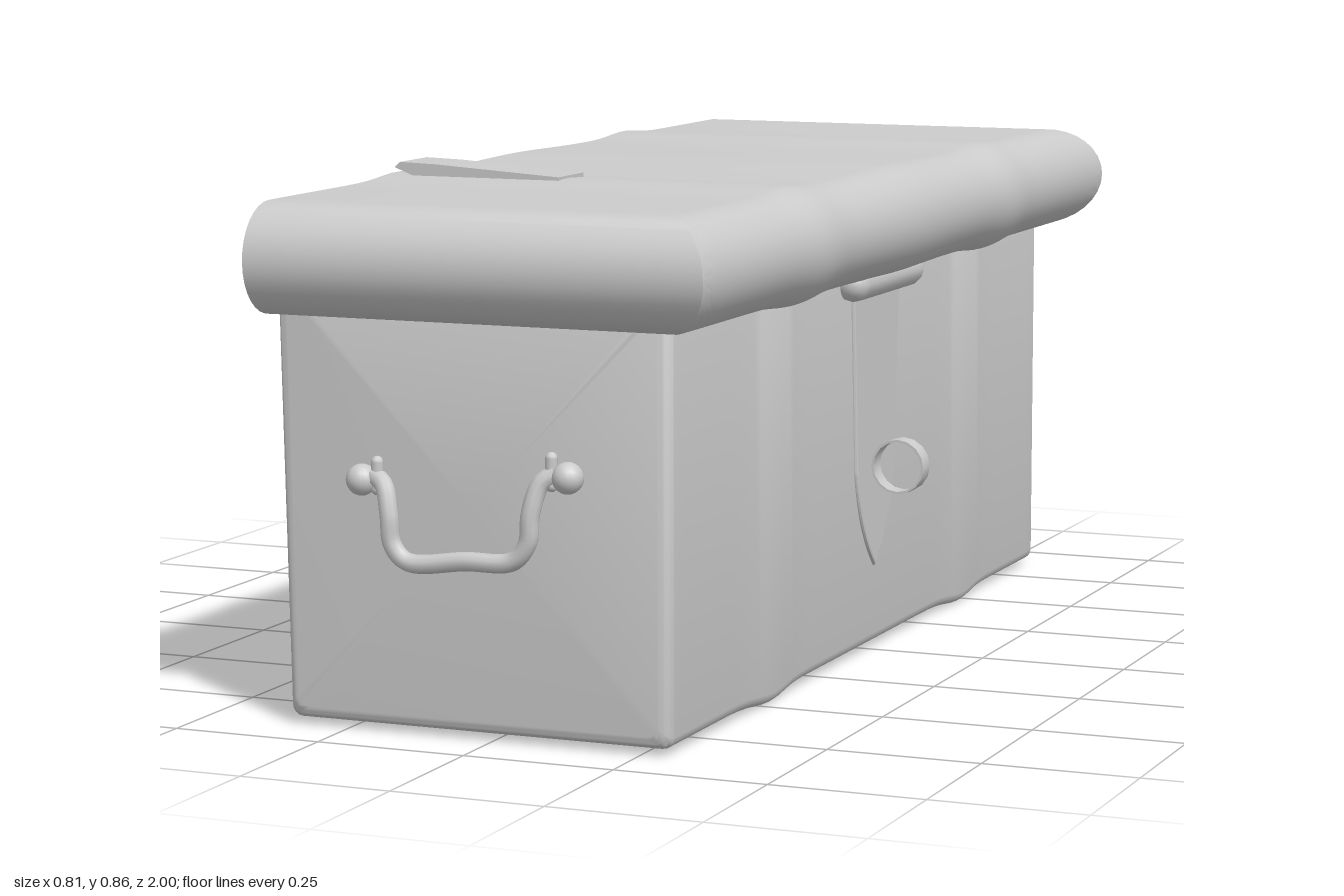
import * as THREE from 'three';
import { toCreasedNormals } from 'three/addons/utils/BufferGeometryUtils.js';

const material = new THREE.MeshStandardMaterial({ color: 0xcccccc });
const thin = new THREE.MeshStandardMaterial({ color: 0xcccccc, side: THREE.DoubleSide });

// Soft swelling where the straps cross the chest
const strap = z => Math.exp(-(((Math.abs(z) - 0.47) / 0.08) ** 2));
const middle = z => Math.exp(-((z / 0.17) ** 2));

function add(parent, name, geometry, mat = material) {
  const mesh = new THREE.Mesh(geometry, mat);
  mesh.name = name;
  parent.add(mesh);
  return mesh;
}

// Skin counter-clockwise [x, y] sections along z and close both ends
function loft(zs, section) {
  const pos = [], index = [];
  const loops = zs.map(section), n = loops[0].length, last = zs.length - 1;
  loops.forEach((loop, i) => loop.forEach(([x, y]) => pos.push(x, y, zs[i])));
  for (let i = 0; i < last; i++) {
    for (let j = 0; j < n; j++) {
      const k = (j + 1) % n;
      const a = i * n + j, b = i * n + k, c = b + n, d = a + n;
      index.push(a, b, c, a, c, d);
    }
  }
  for (const i of [0, last]) {
    const mid = pos.length / 3;
    const sum = loops[i].reduce((s, p) => [s[0] + p[0] / n, s[1] + p[1] / n], [0, 0]);
    pos.push(sum[0], sum[1], zs[i]);
    for (let j = 0; j < n; j++) {
      const a = i * n + j, b = i * n + (j + 1) % n;
      if (i) index.push(mid, a, b);
      else index.push(mid, b, a);
    }
  }
  const geo = new THREE.BufferGeometry();
  geo.setAttribute('position', new THREE.Float32BufferAttribute(pos, 3));
  geo.setIndex(index);
  return toCreasedNormals(geo, 0.7);
}

// Stations along the length, with extra ones over the rounded ends
function stations(flat, round) {
  const zs = [];
  for (let i = 0; i <= 60; i++) zs.push(-flat + (2 * flat * i) / 60);
  for (let i = 1; i <= 8; i++) {
    const z = flat + round * Math.sin((i / 8) * Math.PI / 2);
    zs.push(z);
    zs.unshift(-z);
  }
  return zs;
}

// Body: slightly tapered rounded rectangle with softened ends
function bodySection(z) {
  const k = Math.min(1, Math.max(0, (Math.abs(z) - 0.88) / 0.02));
  const inset = 0.02 * (1 - Math.sqrt(1 - k * k));
  const x0 = -0.368 + inset, x1 = 0.3 - inset + 0.004 * strap(z);
  const y0 = 0.012 + inset - 0.01 * strap(z), y1 = 0.7;
  const r = 0.018, loop = [];
  [[x1, y1], [x0, y1], [x0 + 0.014, y0], [x1, y0]].forEach(([x, y], q) => {
    const cx = x + (x > 0 ? -r : r), cy = y + (y > 0.3 ? -r : r);
    for (let s = 0; s <= 4; s++) {
      const a = (q + s / 4) * Math.PI / 2;
      loop.push([cx + r * Math.cos(a), cy + r * Math.sin(a)]);
    }
  });
  return loop;
}

// Lid: flat at the back, half-round along the latch side and both ends
function lidSection(z) {
  const c = Math.min(1, Math.max(0, (Math.abs(z) - 0.91) / 0.09));
  const span = c > 0 ? Math.acos(c) : Math.PI / 2;
  const r = 0.089 + 0.008 * strap(z) + 0.004 * middle(z);
  const loop = [];
  for (let i = 0; i <= 20; i++) {
    const a = span * (i / 10 - 1);
    loop.push([0.308 + r * Math.cos(a), 0.745 + r * Math.sin(a)]);
  }
  const h = r * Math.sin(span);
  loop.push([-0.37, 0.745 + h], [-0.37, 0.745 - h]);
  return loop;
}

// Drop handle hanging from two knobs; side is the end of the chest
function makeHandle(name, side, tilt) {
  const group = new THREE.Group();
  group.name = name;
  const path = [
    [-0.185, 0.425, 0.925], [-0.163, 0.41, 0.935], [-0.15, 0.365, 0.945], [-0.145, 0.32, 0.945],
    [-0.12, 0.292, 0.945], [-0.02, 0.292, 0.945], [0.06, 0.292, 0.945], [0.085, 0.32, 0.945],
    [0.09, 0.365, 0.945], [0.103, 0.41, 0.935], [0.125, 0.425, 0.925],
  ].map(([x, y, z]) => new THREE.Vector3(x, y + tilt * (x + 0.03), z * side));
  add(group, 'handleBar', new THREE.TubeGeometry(new THREE.CatmullRomCurve3(path), 60, 0.015, 10));
  for (const s of [-1, 1]) {
    const x = -0.03 + s * 0.168, y = 0.418 + tilt * s * 0.168;
    const knob = add(group, 'handleKnob', new THREE.SphereGeometry(0.025, 16, 12));
    knob.position.set(x + s * 0.007, y, side * 0.928);
    const collar = add(group, 'handleCollar', new THREE.CapsuleGeometry(0.01, 0.042, 4, 10));
    collar.position.set(x - s * 0.02, y + 0.008, side * 0.928);
    const pin = add(group, 'handlePin', new THREE.CylinderGeometry(0.017, 0.02, 0.05, 12));
    pin.rotation.x = Math.PI / 2;
    pin.position.set(x, y, side * 0.91);
  }
  return group;
}

export function createModel() {
  const chest = new THREE.Group();
  chest.name = 'chest';
  add(chest, 'body', loft(stations(0.88, 0.02), bodySection));
  add(chest, 'lid', loft(stations(0.91, 0.09), lidSection));

  // Hinge barrels on the flat back
  for (const z of [-0.38, 0.37]) {
    const hinge = add(chest, 'hinge', new THREE.CapsuleGeometry(0.032, 0.25, 6, 12));
    hinge.rotation.x = Math.PI / 2;
    hinge.position.set(-0.373, 0.723, z);
  }

  // Strap end lying on the lid
  const tongue = new THREE.Shape([
    [-0.355, 0.853], [-0.31, 0.836], [-0.06, 0.834], [-0.06, 0.846], [-0.28, 0.86], [-0.345, 0.862],
  ].map(p => new THREE.Vector2(...p)));
  const tongueGeo = new THREE.ExtrudeGeometry(tongue, { depth: 0.1, bevelEnabled: false });
  add(chest, 'strapEnd', tongueGeo).position.z = 0.405;

  // Hasp plate hanging down to a point
  const plate = new THREE.Shape();
  plate.moveTo(-0.11, 0.66);
  plate.lineTo(-0.09, 0.32);
  plate.quadraticCurveTo(-0.07, 0.22, 0, 0.155);
  plate.quadraticCurveTo(0.07, 0.22, 0.09, 0.32);
  plate.lineTo(0.11, 0.66);
  const plateGeo = new THREE.ExtrudeGeometry(plate, {
    depth: 0.004, bevelThickness: 0.004, bevelSize: 0.004, bevelSegments: 2,
  });
  const hasp = add(chest, 'haspPlate', plateGeo);
  hasp.rotation.y = Math.PI / 2;
  hasp.position.x = 0.298;

  // Soft lip where the hasp leaves the lid
  const lip = add(chest, 'haspLip', new THREE.CapsuleGeometry(0.03, 0.26, 6, 12));
  lip.rotation.x = Math.PI / 2;
  lip.position.set(0.315, 0.65, 0.01);

  // Band ring through the hasp
  const ringGeo = new THREE.LatheGeometry([
    [0.043, -0.017], [0.047, -0.017], [0.047, 0.017], [0.043, 0.017], [0.043, -0.017],
  ].map(p => new THREE.Vector2(...p)), 16);
  const ring = add(chest, 'haspRing', toCreasedNormals(ringGeo, 0.6), thin);
  ring.rotation.x = Math.PI / 2;
  ring.position.set(0.354, 0.327, 0.013);

  chest.add(makeHandle('frontHandle', 1, 0.07), makeHandle('backHandle', -1, 0));
  return chest;
}
